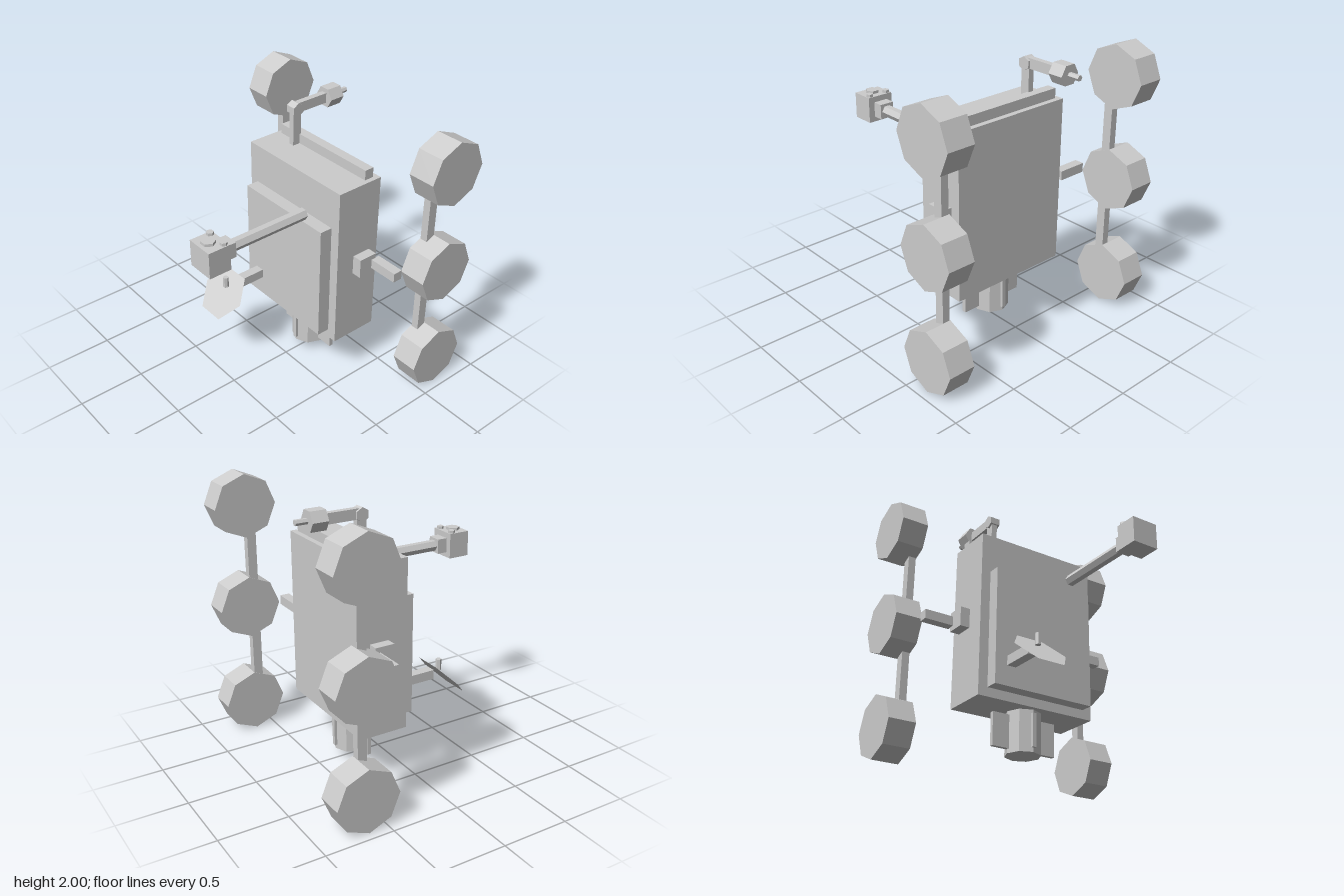
import * as THREE from 'three';

export function createModel() {
  const model = new THREE.Group();
  model.name = 'rover';
  const grey = new THREE.MeshStandardMaterial({ color: 0xcccccc, flatShading: true, side: THREE.DoubleSide });
  grey.name = 'grey';

  const add = (name, geometry, x = 0, y = 0, z = 0) => {
    const mesh = new THREE.Mesh(geometry, grey);
    mesh.name = name;
    mesh.position.set(x, y, z);
    model.add(mesh);
    return mesh;
  };
  // Box from its min and max along each axis
  const box = (name, [x0, x1], [y0, y1], [z0, z1]) =>
    add(name, new THREE.BoxGeometry(x1 - x0, y1 - y0, z1 - z0),
      (x0 + x1) / 2, (y0 + y1) / 2, (z0 + z1) / 2);
  // Prism along an axis, centred at a point
  const prism = (name, axis, sides, r, length, x, y, z) => {
    const g = new THREE.CylinderGeometry(r, r, length, sides, 1, false, Math.PI / 2);
    if (axis === 'x') g.rotateZ(Math.PI / 2);
    if (axis === 'z') g.rotateX(Math.PI / 2);
    return add(name, g, x, y, z);
  };

  // Body
  box('body', [-0.472, 0.472], [0.388, 1.622], [-0.43, -0.065]);
  box('deckPlate', [-0.4, 0.4], [0.455, 1.33], [-0.065, 0.03]);
  box('endRail', [-0.437, 0.437], [1.622, 1.695], [-0.39, -0.318]);

  // Wheels and suspension on both sides
  for (const s of [-1, 1]) {
    const side = s > 0 ? 'left' : 'right';
    const span = (a, b) => (s > 0 ? [a, b] : [-b, -a]);
    for (const y of [0.236, 1.002, 1.768])
      prism(side + 'Wheel', 'x', 8, 0.232, 0.203, s * 0.838, y, -0.647);
    box(side + 'Beam', span(0.741, 0.797), [0.25, 1.75], [-0.645, -0.577]);
    box(side + 'Pivot', span(0.47, 0.545), [0.93, 1.075], [-0.355, -0.212]);
    box(side + 'Arm', span(0.54, 0.765), [0.967, 1.037], [-0.39, -0.318]);
  }

  // Camera mast
  box('mastPost', [-0.28, -0.236], [1.62, 1.89], [-0.33, -0.26]);
  prism('mastJoint', 'x', 6, 0.05, 0.075, -0.257, 1.893, -0.295);
  box('mastArm', [-0.28, -0.236], [1.862, 1.935], [-0.565, -0.3]);
  prism('mastHead', 'z', 6, 0.078, 0.115, -0.257, 1.9, -0.618);
  prism('mastLens', 'z', 6, 0.021, 0.09, -0.257, 1.9, -0.717);

  // Tool arm with instrument head
  prism('toolArm', 'z', 6, 0.043, 0.61, 0.23, 1.404, 0.34);
  box('toolWrist', [0.175, 0.285], [1.35, 1.46], [0.64, 0.72]);
  box('toolHead', [0.13, 0.332], [1.312, 1.502], [0.717, 0.882]);
  prism('toolKnob', 'y', 6, 0.05, 0.022, 0.23, 1.511, 0.812);
  for (const x of [0.158, 0.302]) prism('toolStud', 'y', 6, 0.026, 0.022, x, 1.511, 0.747);

  // Tilted dish antenna
  box('dishArm', [-0.307, -0.237], [0.603, 0.672], [0.02, 0.28]);
  const dish = new THREE.CircleGeometry(0.203, 6);
  dish.rotateX(-Math.PI / 4);
  add('dish', dish, -0.272, 0.602, 0.372);
  prism('dishFeed', 'y', 6, 0.021, 0.083, -0.272, 0.69, 0.345);

  // Power unit with cooling fins
  prism('powerUnit', 'y', 8, 0.13, 0.305, 0, 0.237, -0.232);
  box('wideFin', [-0.257, 0.257], [0.117, 0.36], [-0.247, -0.217]);
  box('deepFin', [-0.015, 0.015], [0.117, 0.36], [-0.376, -0.086]);

  return model;
}
